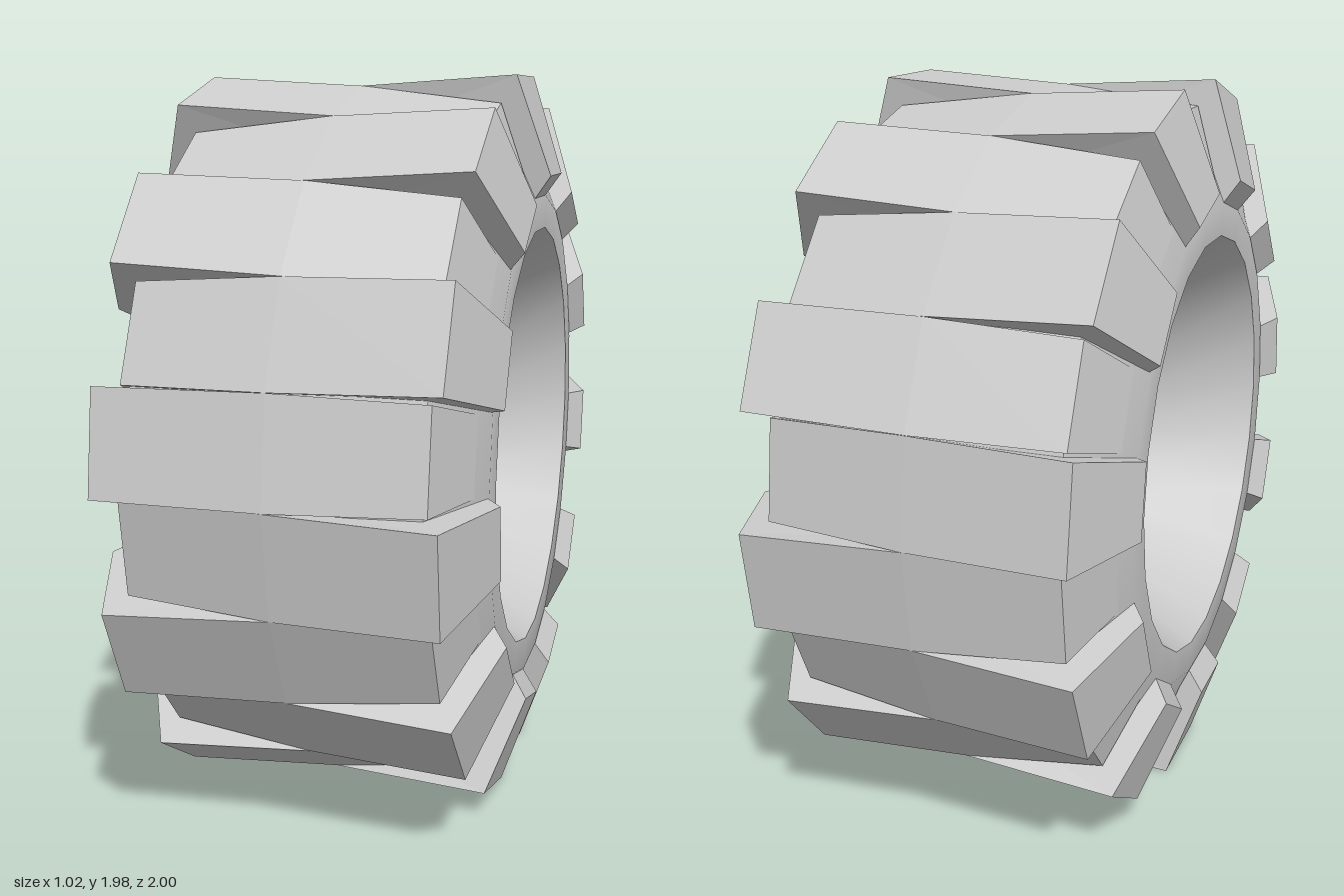
import * as THREE from 'three';
import { toCreasedNormals } from 'three/addons/utils/BufferGeometryUtils.js';

const SIDES = 22;
const STEP = (Math.PI * 2) / SIDES;

const material = new THREE.MeshStandardMaterial({ color: 0xcccccc });

// Turned part around the x axis; profile points are [x, radius at the flats]
function turned(name, profile) {
  const k = 1 / Math.cos(STEP / 2);
  const points = profile.map(([x, r]) => new THREE.Vector2(r * k, x));
  const geometry = new THREE.LatheGeometry(points, SIDES);
  geometry.rotateZ(-Math.PI / 2);
  const mesh = new THREE.Mesh(toCreasedNormals(geometry, 0.5), material);
  mesh.name = name;
  return mesh;
}

// Tread lug: outline points [x, radius, half width], counter-clockwise.
// The tall shoulder is on +x, the low one on -x.
function lugGeometry() {
  const outline = [
    [-0.455, 0.69, 0.096],
    [0.465, 0.665, 0.088],
    [0.51, 0.73, 0.097],
    [0.42, 0.992, 0.134],
    [0, 0.965, 0.1385],
    [-0.38, 0.92, 0.129],
  ];
  const n = outline.length;
  const positions = [];
  const at = (i, side) => {
    const [x, r, w] = outline[i % n];
    return [x, r, w * side];
  };
  const tri = (a, b, c) => positions.push(...a, ...b, ...c);
  for (let i = 0; i < n; i++) {
    tri(at(i, 1), at(i, -1), at(i + 1, -1));
    tri(at(i, 1), at(i + 1, -1), at(i + 1, 1));
  }
  for (let i = 1; i < n - 1; i++) {
    tri(at(0, 1), at(i, 1), at(i + 1, 1));
    tri(at(0, -1), at(i + 1, -1), at(i, -1));
  }
  const geometry = new THREE.BufferGeometry();
  geometry.setAttribute('position', new THREE.Float32BufferAttribute(positions, 3));
  geometry.computeVertexNormals();
  return geometry;
}

export function createModel() {
  const model = new THREE.Group();
  model.name = 'wheel';

  const wheel = new THREE.Group();
  wheel.name = 'wheelAssembly';
  wheel.position.y = 0.992;
  model.add(wheel);

  // Tyre carcass with a dished rim on both sides
  const half = [[0.365, 0.9], [0.47, 0.665], [0.47, 0.58], [0.15, 0.41], [0.15, 0]];
  const mirrored = half.map(([x, r]) => [-x, r]).reverse();
  wheel.add(turned('tyreBody', [...mirrored, [0, 0.94], ...half]));

  // Hub cap on one side only
  wheel.add(turned('hubCap', [[0.15, 0.19], [0.24, 0.17], [0.24, 0]]));

  // Lugs alternate which shoulder is tall
  const treads = new THREE.Group();
  treads.name = 'treads';
  const geometry = lugGeometry();
  for (let i = 0; i < SIDES; i++) {
    const lug = new THREE.Mesh(geometry, material);
    lug.name = 'treadLug';
    lug.rotation.set(i * STEP, i % 2 ? Math.PI : 0, 0);
    treads.add(lug);
  }
  wheel.add(treads);

  return model;
}
